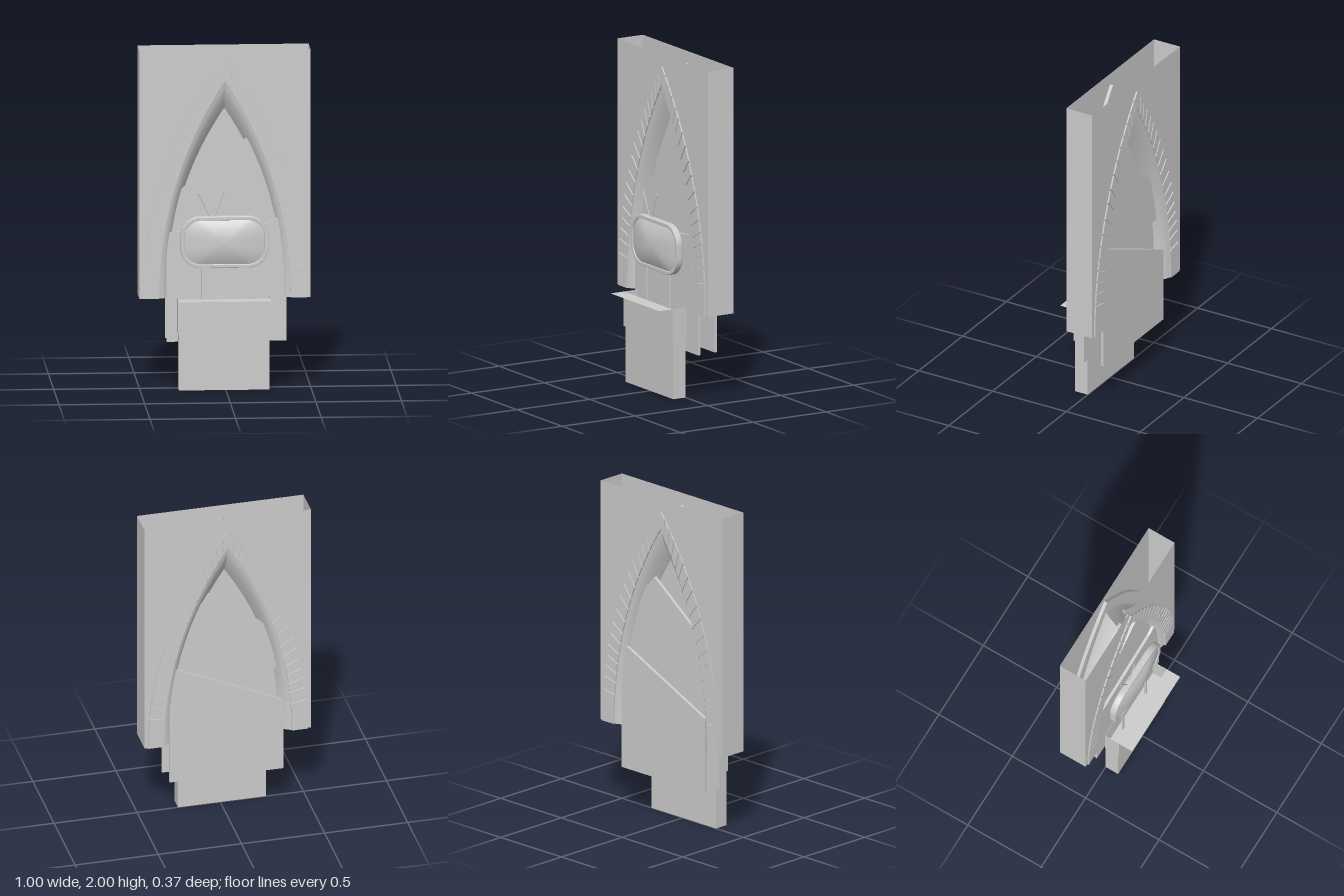
import * as THREE from 'three';
import { ParametricGeometry } from 'three/addons/geometries/ParametricGeometry.js';

const BASE = 0.53, TOP = 2, BACK = -0.176;
const OUTER = [0.48, 1.4], OPENING = [0.385, 1.29], THROAT = [0.29, 1.09];

// Point on one half of a pointed arch, t = 0 at the springing, 1 at the apex
function arch([w, h], t, bulge = 0) {
  const R = (w * w + h * h) / (2 * w);
  const a = t * Math.asin(h / R);
  return [R * Math.cos(a) - (R - w) + bulge * Math.sin(Math.PI * t), BASE + R * Math.sin(a)];
}

export function createModel() {
  const model = new THREE.Group();
  const mat = new THREE.MeshStandardMaterial({ color: 0xcccccc, side: THREE.DoubleSide });
  const add = (name, geo, parent = model) => {
    const mesh = new THREE.Mesh(geo, mat);
    mesh.name = name;
    parent.add(mesh);
    return mesh;
  };
  const shapeOf = (pts) => new THREE.Shape(pts.map(([x, y]) => new THREE.Vector2(x, y)));
  const slab = (name, pts, z0, z1, parent) => {
    const geo = new THREE.ExtrudeGeometry(shapeOf(pts), { depth: z1 - z0, bevelEnabled: false });
    return add(name, geo.translate(0, 0, z0), parent);
  };
  const box = (name, x0, x1, y0, y1, z0, z1, parent) => add(name,
    new THREE.BoxGeometry(x1 - x0, y1 - y0, z1 - z0)
      .translate((x0 + x1) / 2, (y0 + y1) / 2, (z0 + z1) / 2), parent);

  // Hollow wall: two faces with an arched opening and two side sheets
  const N = 28, wallPts = [];
  for (let i = 0; i <= N; i++) wallPts.push(arch(OPENING, i / N));
  for (let i = N - 1; i >= 0; i--) {
    const [x, y] = arch(OPENING, i / N);
    wallPts.push([-x, y]);
  }
  wallPts.push([-0.5, BASE], [-0.5, TOP], [0.5, TOP], [0.5, BASE]);
  for (const [name, z] of [['wallFront', 0], ['wallBack', BACK]])
    add(name, new THREE.ShapeGeometry(shapeOf(wallPts)).translate(0, 0, z));
  for (const s of [-1, 1]) {
    const side = add('wallSide', new THREE.PlaneGeometry(-BACK, TOP - BASE).rotateY(s * Math.PI / 2));
    side.position.set(s * 0.5, (TOP + BASE) / 2, BACK / 2);
  }

  // Curved reveal narrowing from each face to a throat in mid wall
  const reveal = (u, v, target) => {
    const k = Math.pow(v, 0.6);
    const a = arch(OPENING, u), b = arch(THROAT, u, 0.03);
    target.set(a[0] + (b[0] - a[0]) * k, a[1] + (b[1] - a[1]) * k, v * BACK / 2);
  };
  const revealGeo = new ParametricGeometry(reveal, 32, 12);
  revealGeo.computeVertexNormals();

  // Brick surround on both faces
  const joints = [0, 0.135, 0.19, 0.235, 0.28, 0.325, 0.375, 0.425, 0.485, 0.55, 0.605,
    0.665, 0.72, 0.775, 0.82, 0.87, 0.915, 0.96, 1];
  for (const face of [1, -1]) {
    const surround = new THREE.Group();
    surround.name = face > 0 ? 'frontSurround' : 'backSurround';
    surround.scale.z = face;
    surround.position.z = face > 0 ? 0 : BACK;
    model.add(surround);
    for (const s of [1, -1]) {
      const half = new THREE.Group();
      half.name = s > 0 ? 'surroundLeft' : 'surroundRight';
      half.scale.x = s;
      surround.add(half);
      add('reveal', revealGeo, half);
      const band = [];
      for (let i = 0; i <= N; i++) band.push(arch(OUTER, i / N));
      for (let i = N; i >= 0; i--) band.push(arch(OPENING, i / N));
      slab('mortarBand', band, -0.02, 0.002, half);
      for (let i = 0; i < joints.length - 1; i++) {
        const t0 = joints[i] + (i ? 0.004 : 0);
        const t1 = joints[i + 1] - (i < joints.length - 2 ? 0.004 : 0);
        slab('brick', [arch(OUTER, t0), arch(OUTER, (t0 + t1) / 2), arch(OUTER, t1),
          arch(OPENING, t1), arch(OPENING, (t0 + t1) / 2), arch(OPENING, t0)], 0, 0.009, half);
      }
    }
  }

  // Cracked panels filling the opening, front layer then back layer
  slab('frontLowerPanel', [[-0.34, 0.27], [0.36, 0.27], [0.36, 1.03], [0.25, 0.97], [-0.34, 0.915]], -0.037, -0.02);
  slab('frontMiddlePanel', [[-0.34, 0.88], [0.34, 0.93], [0.3, 1.25], [0.16, 1.495], [-0.31, 1.125]], -0.056, -0.04);
  slab('frontTopPanel', [[-0.3, 1.1], [0.2, 1.42], [0.02, 1.64], [-0.02, 1.64], [-0.16, 1.46]], -0.086, -0.07);
  slab('backLowerPanel', [[-0.34, 0.27], [0.345, 0.27], [0.345, 1.04], [0.275, 1.01], [-0.34, 0.73]], -0.16, -0.142);
  slab('backLeftPanel', [[0.08, 0.88], [0.36, 0.95], [0.31, 1.23], [0.15, 1.49], [0.15, 1.43]], -0.142, -0.126);
  slab('backRightPanel', [[0.1, 1.49], [-0.33, 1.17], [-0.34, 0.94], [0.085, 0.93], [0.15, 1.43]], -0.134, -0.115);
  slab('backWedgePanel', [[0.2, 1], [-0.34, 1], [-0.34, 0.65], [0.2, 0.85]], -0.112, -0.1);

  // Rounded television with a bulging screen
  const tv = new THREE.Group();
  tv.name = 'television';
  tv.position.set(-0.005, 0.87, 0);
  model.add(tv);
  const roundedRect = (Cls, w, h, r) => {
    const p = new Cls();
    p.absarc(w - r, h - r, r, 0, Math.PI / 2);
    p.absarc(r - w, h - r, r, Math.PI / 2, Math.PI);
    p.absarc(r - w, r - h, r, Math.PI, Math.PI * 1.5);
    p.absarc(w - r, r - h, r, Math.PI * 1.5, Math.PI * 2);
    p.closePath();
    return p;
  };
  const bevel = { bevelEnabled: true, bevelSize: 0.01, bevelThickness: 0.012, bevelSegments: 4, curveSegments: 12 };
  add('tvBody', new THREE.ExtrudeGeometry(roundedRect(THREE.Shape, 0.247, 0.143, 0.11),
    { depth: 0.012, ...bevel }).translate(0, 0, 0.027), tv);
  const rim = roundedRect(THREE.Shape, 0.252, 0.148, 0.115);
  rim.holes.push(roundedRect(THREE.Path, 0.238, 0.134, 0.101));
  add('tvRim', new THREE.ExtrudeGeometry(rim,
    { depth: 0.012, ...bevel, bevelSize: 0.004, bevelThickness: 0.004 }).translate(0, 0, 0.042), tv);
  const outline = roundedRect(THREE.Shape, 0.238, 0.134, 0.101);
  const screen = new ParametricGeometry((u, v, target) => {
    const p = outline.getPoint(u % 1);
    target.set(p.x * v, p.y * v, 0.05 + 0.033 * (1 - v * v));
  }, 64, 12);
  screen.computeVertexNormals();
  add('tvScreen', screen, tv);

  // Antennae and legs of the television
  const rod = (name, a, b, r) => {
    const d = new THREE.Vector3().subVectors(b, a);
    const m = add(name, new THREE.CylinderGeometry(r, r, d.length(), 8));
    m.position.copy(a).addScaledVector(d, 0.5);
    m.quaternion.setFromUnitVectors(new THREE.Vector3(0, 1, 0), d.normalize());
  };
  for (const [x0, x1] of [[-0.085, -0.158], [-0.065, -0.01]]) {
    const tip = new THREE.Vector3(x1, 1.16, 0.034);
    rod('antenna', new THREE.Vector3(x0, 1.01, 0.034), tip, 0.0035);
    add('antennaTip', new THREE.SphereGeometry(0.005, 8, 6)).position.copy(tip);
  }
  for (const x of [-0.131, 0.124]) box('tvLeg', x - 0.006, x + 0.006, 0.36, 0.725, 0.024, 0.036);

  // Pedestal, open box on top of it and its folded-out flap
  box('pedestal', -0.275, 0.255, 0, 0.36, 0, 0.085);
  for (const [z, name] of [[-0.002, 'boxBack'], [0.094, 'boxFront']])
    box(name, -0.28, 0.26, 0.335, 0.54, z - 0.001, z + 0.001);
  for (const x of [-0.279, 0.259]) box('boxSide', x - 0.001, x + 0.001, 0.335, 0.54, -0.002, 0.094);
  box('boxFloor', -0.28, 0.26, 0.335, 0.337, -0.002, 0.094);
  const flap = add('boxFlap', new THREE.PlaneGeometry(0.54, 0.09).rotateX(-Math.PI / 2));
  flap.position.set(-0.01, 0.54, 0.139);

  return model;
}
